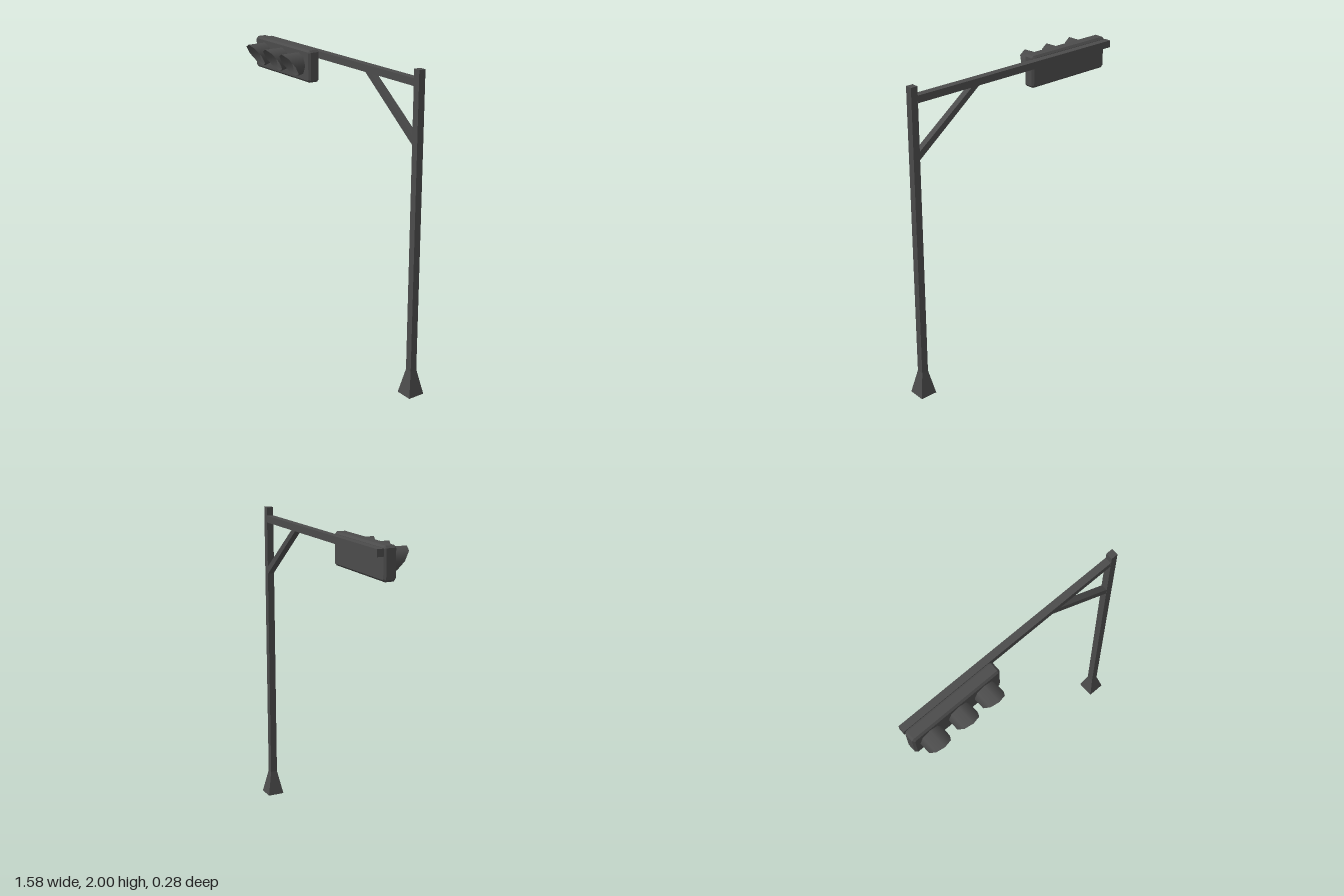
import * as THREE from 'three';

const POLE_X = 0.732, POLE_Z = -0.085, BAR = 0.044;

export function createModel() {
  const group = new THREE.Group();
  const darkGrey = new THREE.MeshStandardMaterial({ color: 0x4b4b4b, side: THREE.DoubleSide });
  darkGrey.name = 'darkGrey';

  const add = (name, geometry, x, y, z) => {
    const mesh = new THREE.Mesh(geometry, darkGrey);
    mesh.name = name;
    mesh.position.set(x, y, z);
    group.add(mesh);
    return mesh;
  };
  const polygon = (points) => new THREE.Shape(points.map(([x, y]) => new THREE.Vector2(x, y)));

  // Upright pole on a flared square foot
  add('pole', new THREE.BoxGeometry(BAR, 1.84, BAR), POLE_X, 1.08, POLE_Z);
  const foot = new THREE.CylinderGeometry(BAR / Math.SQRT2, 0.11 / Math.SQRT2, 0.16, 4)
    .rotateY(Math.PI / 4).toNonIndexed();
  foot.computeVertexNormals();
  add('poleFoot', foot, POLE_X, 0.08, POLE_Z);

  // Horizontal arm and its diagonal brace
  add('arm', new THREE.BoxGeometry(1.502, BAR, BAR), -0.038, 1.925, POLE_Z - 0.002);
  const brace = new THREE.ExtrudeGeometry(
    polygon([[0.27, 1.905], [0.715, 1.56], [0.715, 1.61], [0.325, 1.905]]),
    { depth: 0.04, bevelEnabled: false });
  add('brace', brace, 0, 0, POLE_Z - 0.02);

  // Signal housing: a box with chamfered edges and corners
  const b = 0.012, w = 0.305 - b, h = 0.1 - b, c = 0.006;
  const housing = new THREE.ExtrudeGeometry(
    polygon([[-w + c, -h], [w - c, -h], [w, -h + c], [w, h - c],
      [w - c, h], [-w + c, h], [-w, h - c], [-w, -h + c]]),
    { depth: 0.078 - 2 * b, bevelThickness: b, bevelSize: b, bevelSegments: 1 });
  add('signalHousing', housing, -0.485, 1.86, -0.062 + b);

  // Lamp hoods: open eight-sided tubes, cut on a slant so the top reaches forward
  const R = 0.073;
  const hood = new THREE.CylinderGeometry(R, R, 1, 8, 1, true).rotateX(Math.PI / 2);
  const p = hood.attributes.position;
  for (let i = 0; i < p.count; i++) {
    p.setZ(i, p.getZ(i) > 0 ? 0.087 + (p.getY(i) / R) * 0.053 : 0.01);
  }
  [-0.678, -0.48, -0.297].forEach((x, i) => add('lampHood' + (i + 1), hood, x, 1.861, 0));

  return group;
}
